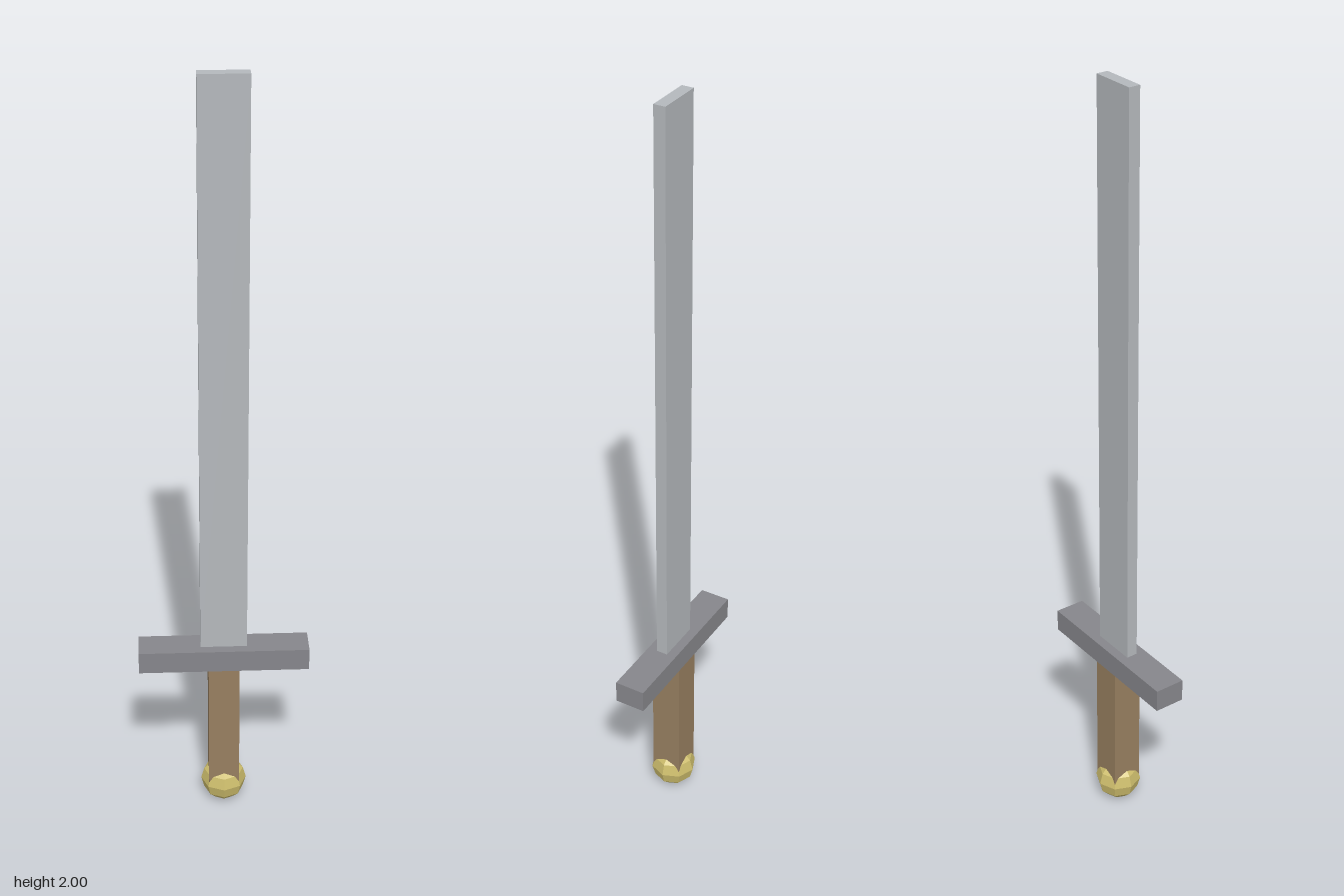
import * as THREE from 'three';

function material(name, color) {
  const m = new THREE.MeshStandardMaterial({ color });
  m.name = name;
  m.flatShading = true;
  return m;
}

export function createModel() {
  const sword = new THREE.Group();
  sword.name = 'sword';

  const steel = material('pale steel', 0xb4b8bc);
  const iron = material('dark iron', 0x86868b);
  const leather = material('brown leather', 0x977f60);
  const brass = material('brass', 0xcdbd6c);

  // Adds a box spanning the heights y0 to y1 on the sword's axis
  const addBar = (name, width, y0, y1, depth, mat) => {
    const mesh = new THREE.Mesh(new THREE.BoxGeometry(width, y1 - y0, depth), mat);
    mesh.name = name;
    mesh.position.y = (y0 + y1) / 2;
    sword.add(mesh);
  };

  addBar('blade', 0.12, 0.495, 2, 0.03, steel);
  addBar('crossguard', 0.44, 0.435, 0.495, 0.08, iron);
  addBar('grip', 0.08, 0.065, 0.435, 0.08, leather);

  // Faceted pommel at the foot of the grip
  const pommel = new THREE.Mesh(new THREE.SphereGeometry(0.06, 8, 6), brass);
  pommel.name = 'pommel';
  pommel.position.y = 0.06;
  sword.add(pommel);

  return sword;
}
